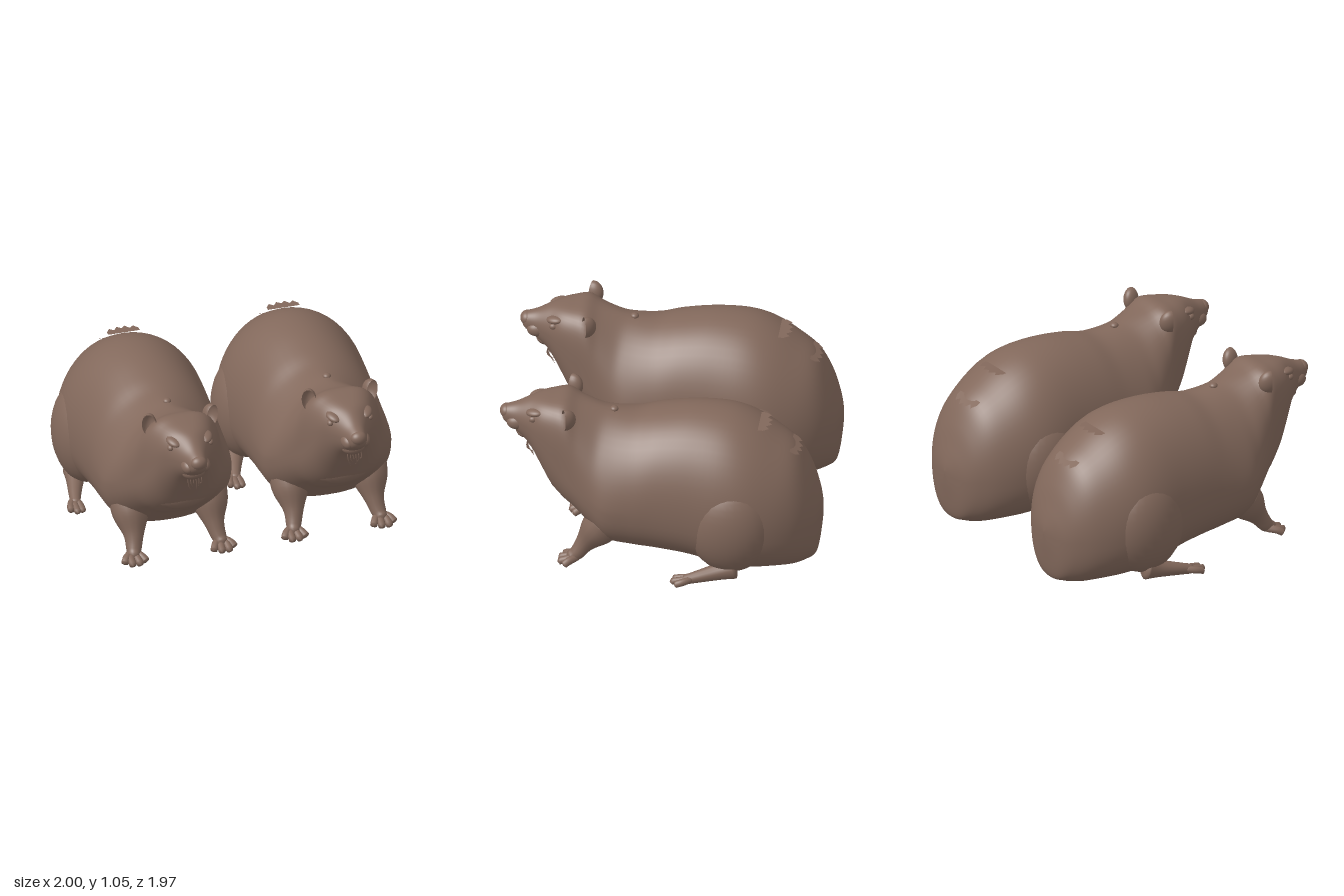
import * as THREE from 'three';

const fur = new THREE.MeshStandardMaterial({ color: 0x82685b, side: THREE.DoubleSide });
fur.name = 'brown fur';

function add(parent, name, geometry, position = [0, 0, 0], scale = [1, 1, 1], rotation = [0, 0, 0]) {
  const mesh = new THREE.Mesh(geometry, fur);
  mesh.name = name;
  mesh.position.set(...position);
  mesh.scale.set(...scale);
  mesh.rotation.set(...rotation);
  parent.add(mesh);
  return mesh;
}

// Smooth closed skin over a list of equal rings
function skin(rings) {
  const n = rings[0].length, index = [];
  for (let i = 0; i < rings.length - 1; i++) {
    for (let j = 0; j < n; j++) {
      const a = i * n + j, b = i * n + (j + 1) % n;
      index.push(a, b, a + n, b, b + n, a + n);
    }
  }
  const geometry = new THREE.BufferGeometry().setFromPoints(rings.flat());
  geometry.setIndex(index);
  geometry.computeVertexNormals();
  return geometry;
}

// Tapered limb through points [x, y, z, radius]
function limb(points, sides = 14, steps = 24) {
  const curve = new THREE.CatmullRomCurve3(points.map(p => new THREE.Vector3(p[0], p[1], p[2])));
  const radii = new THREE.CatmullRomCurve3(points.map((p, i) => new THREE.Vector3(i, p[3], 0)), false, 'catmullrom', 0.5);
  const rings = [];
  const side = new THREE.Vector3(), up = new THREE.Vector3();
  for (let i = 0; i <= steps; i++) {
    const t = i / steps, c = curve.getPoint(t), d = curve.getTangent(t);
    const r = Math.max(radii.getPoint(t).y, 0) * Math.min(1, Math.sqrt(12 * Math.min(t, 1 - t)));
    side.crossVectors(new THREE.Vector3(1, 0, 0.001), d).normalize();
    up.crossVectors(d, side);
    rings.push(Array.from({ length: sides }, (_, j) => {
      const a = j / sides * Math.PI * 2;
      return c.clone().addScaledVector(side, r * Math.cos(a)).addScaledVector(up, r * Math.sin(a));
    }));
  }
  return skin(rings);
}

// Body sections: z, bottom, top, half width, height of widest point, roundness of the top
const sections = [
  [-0.985, 0.34, 0.36, 0.0, 0.35, 2],
  [-0.975, 0.22, 0.42, 0.07, 0.34, 2],
  [-0.95, 0.06, 0.51, 0.16, 0.33, 2],
  [-0.9, 0.025, 0.65, 0.245, 0.35, 2],
  [-0.82, 0.01, 0.785, 0.325, 0.36, 2],
  [-0.7, 0.01, 0.875, 0.395, 0.38, 2],
  [-0.55, 0.01, 0.965, 0.445, 0.4, 2],
  [-0.4, 0.025, 1.01, 0.455, 0.42, 2],
  [-0.2, 0.075, 1.015, 0.435, 0.44, 2],
  [0, 0.1, 0.985, 0.42, 0.45, 2],
  [0.15, 0.115, 0.953, 0.415, 0.45, 1.85],
  [0.3, 0.14, 0.965, 0.405, 0.46, 1.65],
  [0.4, 0.22, 0.985, 0.355, 0.5, 1.75],
  [0.5, 0.31, 1.01, 0.295, 0.56, 2.3],
  [0.58, 0.36, 1.04, 0.25, 0.62, 3.2],
  [0.66, 0.44, 1.035, 0.212, 0.72, 3],
  [0.73, 0.57, 1.025, 0.175, 0.82, 2.5],
  [0.8, 0.7, 1.005, 0.125, 0.86, 2],
  [0.88, 0.775, 0.965, 0.078, 0.87, 2],
  [0.95, 0.83, 0.94, 0.05, 0.885, 2],
  [0.97, 0.86, 0.92, 0.03, 0.89, 2],
  [0.98, 0.89, 0.89, 0.0, 0.89, 2],
];

function bodyGeometry() {
  const path = k => new THREE.CatmullRomCurve3(
    sections.map(s => new THREE.Vector3(...s.slice(k, k + 3))), false, 'catmullrom', 0.5);
  const outline = path(0), shape = path(3);
  const rings = [], steps = 105, sides = 56;
  for (let i = 0; i <= steps; i++) {
    const { x: z, y: low, z: high } = outline.getPoint(i / steps);
    const { x: width, y: mid, z: round } = shape.getPoint(i / steps);
    rings.push(Array.from({ length: sides }, (_, j) => {
      const a = j / sides * Math.PI * 2, c = Math.cos(a), s = Math.sin(a);
      const n = s > 0 ? round : 2.4;
      const x = Math.sign(c) * Math.max(width, 0) * Math.abs(c) ** (2 / n);
      const y = mid + (s > 0 ? high - mid : low - mid) * Math.abs(s) ** (2 / n);
      return new THREE.Vector3(x, y, z);
    }));
  }
  return skin(rings);
}

// Jagged thin lock of fur
function tuftGeometry() {
  const shape = new THREE.Shape();
  shape.moveTo(-0.1, 0);
  for (let i = 0; i <= 8; i++) {
    shape.lineTo(-0.1 + i * 0.025, (i % 2 ? 0.085 : 0.055) - Math.abs(i - 4) * 0.006);
  }
  shape.lineTo(0.1, 0);
  return new THREE.ShapeGeometry(shape);
}

function createAnimal() {
  const animal = new THREE.Group();
  animal.name = 'rodent';
  const ball = new THREE.SphereGeometry(1, 28, 20);
  const cup = new THREE.SphereGeometry(1, 24, 12, 0, Math.PI * 2, 0, Math.PI * 0.55).rotateX(-Math.PI / 2);

  add(animal, 'body', bodyGeometry());
  add(animal, 'nose', ball, [0, 0.9, 0.945], [0.05, 0.043, 0.042]);
  add(animal, 'chin', ball, [0, 0.78, 0.83], [0.075, 0.05, 0.06]);
  add(animal, 'chestFold', ball, [0, 0.5, 0.58], [0.19, 0.11, 0.11], [0.6, 0, 0]);

  for (const s of [-1, 1]) {
    // Head details
    add(animal, 'ear', cup, [s * 0.195, 0.985, 0.565], [0.045, 0.075, 0.065], [0, s * 0.4, -s * 0.1]);
    add(animal, 'eye', ball, [s * 0.125, 0.93, 0.77], [0.02, 0.02, 0.026]);
    add(animal, 'brow', ball, [s * 0.105, 0.965, 0.765], [0.035, 0.022, 0.055], [0.2, s * -0.4, 0]);
    add(animal, 'cheek', ball, [s * 0.05, 0.85, 0.88], [0.04, 0.045, 0.06]);

    // Front leg and toes
    add(animal, 'frontLeg', limb([
      [s * 0.25, 0.36, 0.28, 0.12], [s * 0.25, 0.25, 0.36, 0.11], [s * 0.255, 0.15, 0.435, 0.062],
      [s * 0.27, 0.075, 0.49, 0.045], [s * 0.285, 0.045, 0.545, 0.03]]));
    [-0.075, -0.028, 0.022, 0.065].forEach((dx, i) => add(animal, 'frontToe', limb([
      [s * 0.275, 0.06, 0.475, 0.025], [s * (0.285 + dx * 0.7), 0.05, 0.53, 0.024],
      [s * (0.285 + dx), 0.03, [0.57, 0.6, 0.6, 0.56][i], 0.022]], 10, 12)));

    // Hind leg with a long foot
    add(animal, 'thigh', ball, [s * 0.3, 0.385, -0.45], [0.192, 0.32, 0.27]);
    add(animal, 'hindFoot', limb([
      [s * 0.34, 0.11, -0.5, 0.08], [s * 0.37, 0.085, -0.4, 0.055],
      [s * 0.41, 0.06, -0.27, 0.038], [s * 0.435, 0.04, -0.17, 0.028]]));
    [-0.045, -0.01, 0.025].forEach((dx, i) => add(animal, 'hindToe', limb([
      [s * 0.425, 0.055, -0.24, 0.022], [s * (0.445 + dx * 0.8), 0.045, -0.18, 0.022],
      [s * (0.45 + dx), 0.03, [-0.11, -0.1, -0.13][i], 0.02]], 10, 12)));
  }

  // Fur locks on the back and strands below the chin
  add(animal, 'upperTuft', tuftGeometry(), [0, 0.945, -0.595], [1, 1, 1], [-1.6, 0, 0]);
  add(animal, 'lowerTuft', tuftGeometry(), [0, 0.805, -0.79], [1, 1, 1], [-2.1, 0, 0]);
  add(animal, 'neckTuft', ball, [0, 0.965, 0.29], [0.025, 0.018, 0.025]);
  for (let i = 0; i < 6; i++) {
    const x = -0.03 + i * 0.017;
    add(animal, 'chinStrand', limb([
      [x, 0.74, 0.81, 0.003], [x + 0.005, 0.68, 0.815, 0.003], [x * 0.6 + 0.025, 0.6 + (i % 3) * 0.025, 0.77, 0.002]], 5, 6));
  }
  return animal;
}

export function createModel() {
  const model = new THREE.Group();
  model.name = 'rodentPair';
  for (const s of [-1, 1]) {
    const animal = createAnimal();
    animal.position.x = s * 0.505;
    model.add(animal);
  }
  return model;
}
